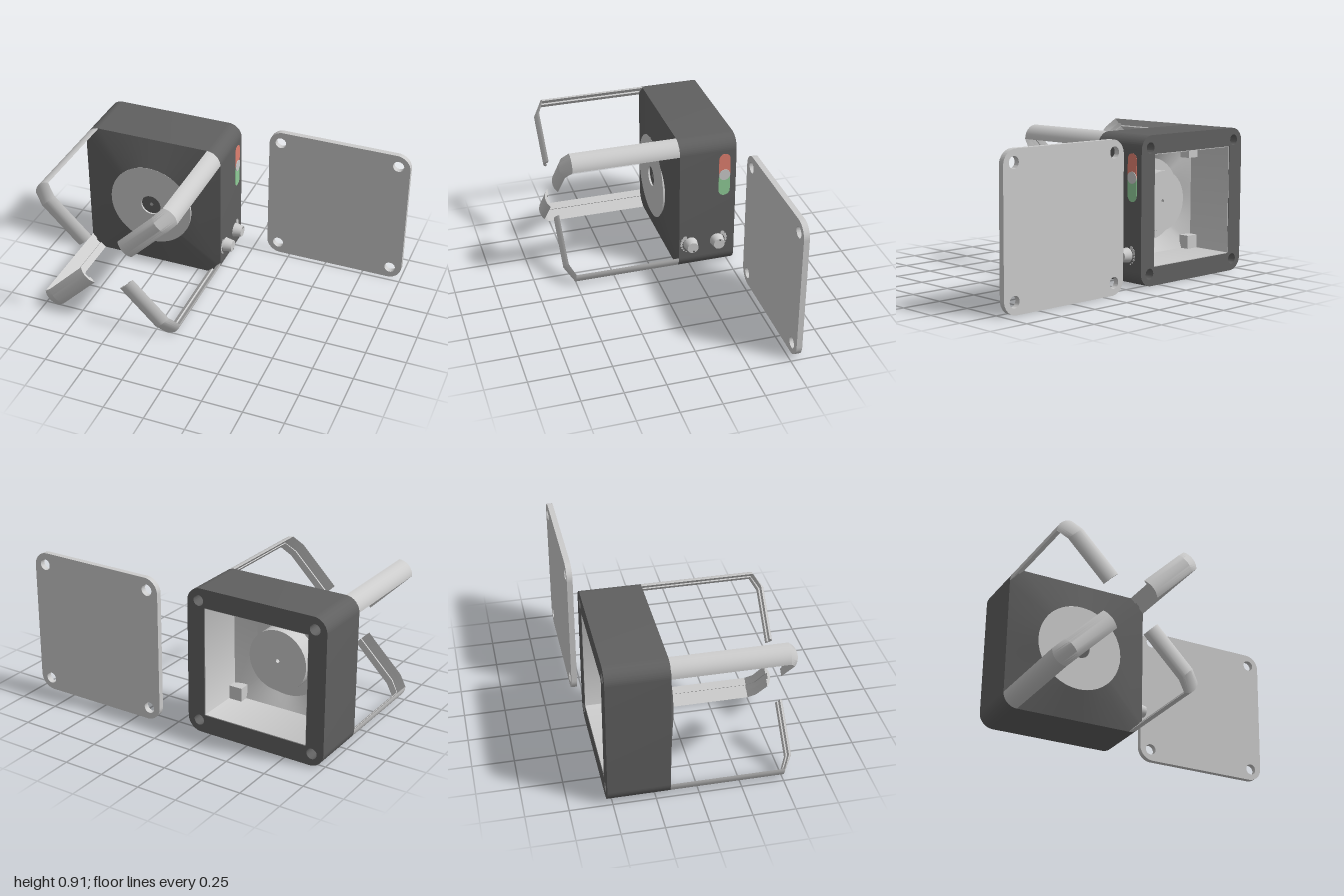
import * as THREE from 'three';
import { toCreasedNormals } from 'three/addons/utils/BufferGeometryUtils.js';

const H = 0.4535; // half width of housing and plate
const CORNER = 0.088; // corner fillet radius
const BACK = -0.53, SHOULDER = -0.165, FRONT = -0.113; // housing depths

const material = (color) => new THREE.MeshStandardMaterial({ color });
const grey = material(0xcccccc);
const dark = material(0x606060);
const red = material(0xe08070);
const green = material(0x90cc98);

function add(parent, name, geometry, mat, x = 0, y = 0, z = 0) {
  const mesh = new THREE.Mesh(geometry, mat);
  mesh.name = name;
  mesh.position.set(x, y, z);
  parent.add(mesh);
  return mesh;
}

// Counter-clockwise rounded square centred on the origin
function roundedSquare(h, r) {
  const s = new THREE.Shape();
  const c = h - r;
  s.moveTo(h, -c);
  s.absarc(c, c, r, 0, Math.PI / 2);
  s.absarc(-c, c, r, Math.PI / 2, Math.PI);
  s.absarc(-c, -c, r, Math.PI, Math.PI * 1.5);
  s.absarc(c, -c, r, Math.PI * 1.5, Math.PI * 2);
  return s;
}

function circleHole(x, y, r) {
  return new THREE.Path().absarc(x, y, r, 0, Math.PI * 2, true);
}

function extrude(shape, depth) {
  return toCreasedNormals(
    new THREE.ExtrudeGeometry(shape, { depth, bevelEnabled: false, curveSegments: 20 }), 0.5);
}

// Round disc with a centre hole, running from z = 0 to depth
function disc(radius, hole, depth) {
  const s = new THREE.Shape().absarc(0, 0, radius, 0, Math.PI * 2);
  s.holes.push(circleHole(0, 0, hole));
  return extrude(s, depth);
}

// Skin between closed cross-sections, with optional end caps shaped by a 2D profile
function loft(sections, profile) {
  const n = sections[0].length, index = [];
  for (let s = 0; s < sections.length - 1; s++) {
    for (let i = 0; i < n; i++) {
      const a = s * n + i, b = s * n + (i + 1) % n;
      index.push(a, b, b + n, a, b + n, a + n);
    }
  }
  if (profile) {
    const last = (sections.length - 1) * n;
    for (const [a, b, c] of THREE.ShapeUtils.triangulateShape(profile, [])) {
      index.push(c, b, a, last + a, last + b, last + c);
    }
  }
  const g = new THREE.BufferGeometry().setFromPoints(sections.flat());
  g.setIndex(index);
  return toCreasedNormals(g, 0.5);
}

// Shallow hood blending a rounded square into a circle
function squareToCircle(h, r, z0, radius, z1) {
  const ring = roundedSquare(h, r).getSpacedPoints(128).slice(0, -1);
  return loft([
    ring.map((p) => new THREE.Vector3(p.x, p.y, z0)),
    ring.map((p) => {
      const q = p.clone().setLength(radius);
      return new THREE.Vector3(q.x, q.y, z1);
    }),
  ]);
}

function cornerHoles(shape, r) {
  const c = H - 0.075;
  for (const x of [-c, c]) for (const y of [-c, c]) shape.holes.push(circleHole(x, y, r));
}

// Bent arm: a circular-segment bar with a groove along its flat inner face
function armGeometry() {
  const profile = [];
  for (let i = 0; i <= 12; i++) {
    const a = (-1 + i / 6) * Math.PI / 4;
    profile.push(new THREE.Vector2(CORNER * (Math.cos(a) - Math.SQRT1_2), CORNER * Math.sin(a)));
  }
  const g = 0.017, d = 0.01;
  for (const [h, w] of [[0, g], [d, g], [d, -g], [0, -g]]) profile.push(new THREE.Vector2(h, w));
  const u = (H - CORNER) * Math.SQRT2 + CORNER * Math.SQRT1_2;
  const upright = (z) => profile.map((p) => new THREE.Vector3(u + p.x, p.y, z));
  const folded = (x) => profile.map((p) => new THREE.Vector3(x, p.y, 0.541 + p.x));
  return loft([upright(SHOULDER - 0.005), upright(0.505), folded(0.502), folded(0.18)], profile);
}

function buildHousing() {
  const housing = new THREE.Group();
  housing.name = 'housing';

  // Square shell, open at the back, with screw holes in its rim
  const shell = roundedSquare(H, CORNER);
  shell.holes.push(roundedSquare(0.34, 0.004));
  cornerHoles(shell, 0.033);
  add(housing, 'shell', extrude(shell, SHOULDER - BACK), dark, 0, 0, BACK);
  add(housing, 'frontHood', squareToCircle(H, CORNER, SHOULDER, 0.273, FRONT), dark);

  // Cavity lining and corner blocks
  const lining = roundedSquare(0.34, 0.004);
  lining.holes.push(roundedSquare(0.336, 0.002));
  add(housing, 'cavityLining', extrude(lining, 0.33), grey, 0, 0, BACK + 0.003);
  const innerMat = material(0xcccccc);
  innerMat.side = THREE.DoubleSide;
  add(housing, 'cavityHood', squareToCircle(0.337, 0.03, -0.215, 0.26, -0.165), innerMat);
  for (const x of [-1, 1]) for (const y of [-1, 1]) {
    add(housing, 'cornerBlock', new THREE.BoxGeometry(0.085, 0.085, 0.07), grey, x * 0.294, y * 0.294, -0.235);
  }

  // Round speaker face and motor
  add(housing, 'innerPlate', disc(0.262, 0.03, 0.01), grey, 0, 0, -0.17);
  add(housing, 'motor', disc(0.19, 0.012, 0.12), grey, 0, 0, -0.28);
  add(housing, 'frontDisc', disc(0.273, 0.066, 0.025), grey, 0, 0, FRONT - 0.025);
  add(housing, 'hub', disc(0.067, 0.012, 0.03), dark, 0, 0, -0.155);

  // Four arms reaching forward from the corners
  const arm = armGeometry();
  for (let k = 0; k < 4; k++) {
    add(housing, 'arm', arm, grey).rotation.z = Math.PI / 4 + k * Math.PI / 2;
  }
  return housing;
}

// Cylinder whose axis points out of the +x side
function sideCylinder(tip, base, length) {
  return new THREE.CylinderGeometry(tip, base, length, 32).rotateZ(-Math.PI / 2);
}

function buildControls() {
  const controls = new THREE.Group();
  controls.name = 'controls';
  const y = 0.185 - H;

  // Tapered knobs, each with an arc of growing dots
  for (const [z, side, mark] of [[-0.24, 1, -0.026], [-0.415, -1, 0.026]]) {
    add(controls, 'knob', sideCylinder(0.036, 0.046, 0.055), grey, H + 0.0275, y, z);
    add(controls, 'knobMark', sideCylinder(0.006, 0.006, 0.002), dark, H + 0.0555, y + mark, z - 0.005);
    for (let i = 0; i < 7; i++) {
      const a = THREE.MathUtils.degToRad(-62 + i * 19);
      const r = 0.004 + i * 0.0015;
      add(controls, 'levelDot', sideCylinder(r, r, 0.003), grey,
        H, y + 0.06 * Math.sin(a), z + side * 0.06 * Math.cos(a));
    }
  }

  // Slide switch: two half capsules and a round slider
  const r = 0.037, length = 0.108;
  const half = new THREE.Shape();
  half.moveTo(-r, 0);
  half.lineTo(r, 0);
  half.absarc(0, length, r, 0, Math.PI);
  const up = extrude(half, 0.003).rotateY(Math.PI / 2);
  const down = extrude(half, 0.003).rotateZ(Math.PI).rotateY(Math.PI / 2);
  const sy = 0.655 - H, sz = -0.455;
  add(controls, 'switchUpper', up, red, H - 0.001, sy, sz);
  add(controls, 'switchLower', down, green, H - 0.001, sy, sz);
  add(controls, 'switchSlider', sideCylinder(0.036, 0.036, 0.008), grey, H + 0.002, sy, sz);
  return controls;
}

export function createModel() {
  const model = new THREE.Group();
  model.name = 'armedDevice';

  const device = new THREE.Group();
  device.name = 'device';
  device.position.set(H - 1, H, 0);
  device.add(buildHousing(), buildControls());
  model.add(device);

  // Separate back cover beside the housing
  const cover = roundedSquare(H, 0.09);
  cornerHoles(cover, 0.035);
  add(model, 'backCover', extrude(cover, 0.035), grey, 1 - H, H, -0.566);
  return model;
}
